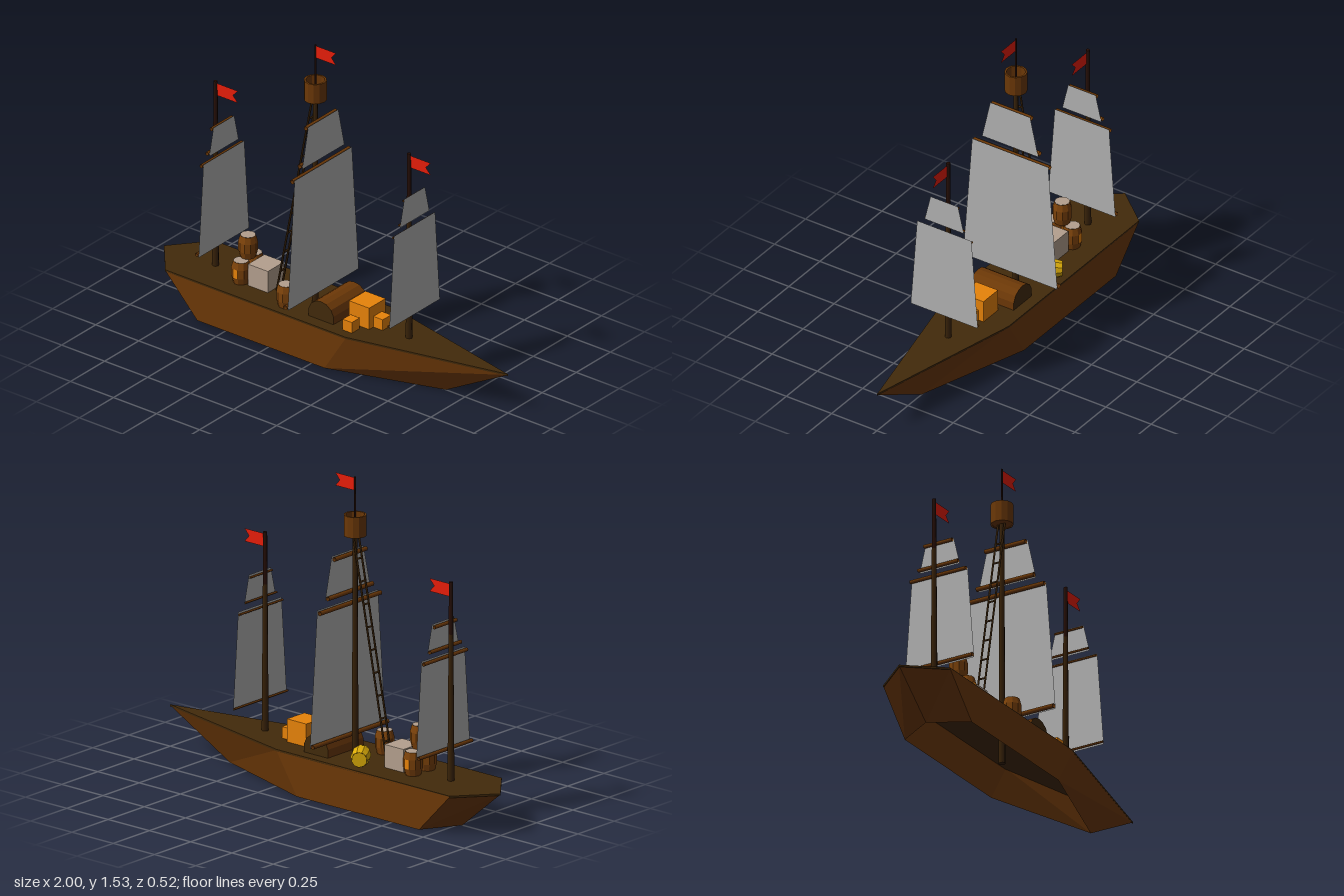
import * as THREE from 'three';

const mat = (name, color, side = THREE.FrontSide) => {
  const m = new THREE.MeshStandardMaterial({ color, side });
  m.name = name;
  return m;
};

export function createModel() {
  const D = THREE.DoubleSide;
  const hullWood = mat('hull wood', 0x6c3807, D);
  const deckWood = mat('dark deck wood', 0x422a0b, D);
  const mastWood = mat('mast wood', 0x382208);
  const poleWood = mat('flag pole wood', 0x260e05);
  const sailCloth = mat('sail cloth', 0xb2b2b2, D);
  const flagRed = mat('flag red', 0xec1e0a, D);
  const barrelWood = mat('barrel wood', 0x7c420a);
  const paleWood = mat('pale wood', 0xb4a08e);
  const orangeWood = mat('orange wood', 0xf0880a);
  const yellowWood = mat('yellow wood', 0xdcac08);

  const ship = new THREE.Group();
  ship.name = 'sailingShip';
  const add = (parent, name, geo, material, x = 0, y = 0, z = 0) => {
    const m = new THREE.Mesh(geo, material);
    m.name = name;
    m.position.set(x, y, z);
    parent.add(m);
    return m;
  };
  const flat = (geo) => {
    const g = geo.toNonIndexed();
    g.computeVertexNormals();
    return g;
  };
  // Rod between two points
  const rod = (parent, name, a, b, r, material, sides = 8, rTop = r, open = false) => {
    const va = new THREE.Vector3(...a), vb = new THREE.Vector3(...b);
    const dir = vb.clone().sub(va);
    const m = add(parent, name, new THREE.CylinderGeometry(rTop, r, dir.length(), sides, 1, open), material);
    m.position.copy(va).add(vb).multiplyScalar(0.5);
    m.quaternion.setFromUnitVectors(new THREE.Vector3(0, 1, 0), dir.normalize());
  };
  // Thin panel in the xy plane
  const panel = (points) => new THREE.ShapeGeometry(new THREE.Shape(points.map(([x, y]) => new THREE.Vector2(x, y))));

  // Hull: sloping sides below the deck outline, open underneath
  const outline = [[-1, 0], [-0.85, 0.18], [0.2, 0.18], [1, 0], [0.2, -0.18], [-0.85, -0.18]];
  const sides = [];
  outline.forEach(([x0, z0], i) => {
    const [x1, z1] = outline[(i + 1) % outline.length];
    const a = [x0, 0.196, z0], b = [x1, 0.196, z1];
    const c = [x0 * 0.705 - 0.065, 0, z0], d = [x1 * 0.705 - 0.065, 0, z1];
    sides.push(...c, ...d, ...b, ...c, ...b, ...a);
  });
  const hullGeo = new THREE.BufferGeometry();
  hullGeo.setAttribute('position', new THREE.Float32BufferAttribute(sides, 3));
  hullGeo.computeVertexNormals();
  add(ship, 'hull', hullGeo, hullWood);

  // Deck with a thin dark edge
  const deckShape = new THREE.Shape(outline.map(([x, z]) => new THREE.Vector2(x, -z)));
  const deckGeo = new THREE.ExtrudeGeometry(deckShape, { depth: 0.009, bevelEnabled: false });
  deckGeo.rotateX(-Math.PI / 2);
  add(ship, 'deck', deckGeo, deckWood, 0, 0.191, 0);

  // Masts, each with two sails, their yards and a flag
  // sail: [bottom y, bottom half width, top y, top half width]
  const smallSails = [[0.33, 0.185, 0.795, 0.15], [0.82, 0.108, 0.955, 0.076]];
  const mainSails = [[0.28, 0.26, 0.93, 0.21], [0.965, 0.155, 1.165, 0.11]];
  const masts = [
    { name: 'mizzen', x: -0.7, base: 0.19, poleY: 0.9, poleR: 0.011, top: 1.15, sailX: -0.652, yardX: -0.665, yardR: 0.009, sails: smallSails, flagW: 0.13, flagY: 1.14 },
    { name: 'main', x: -0.12, base: 0.05, poleY: 1.27, poleR: 0.005, top: 1.53, sailX: -0.074, yardX: -0.089, yardR: 0.011, sails: mainSails, flagW: 0.12, flagY: 1.525 },
    { name: 'fore', x: 0.425, base: 0.19, poleY: 0.9, poleR: 0.011, top: 1.15, sailX: 0.457, yardX: 0.45, yardR: 0.005, sails: smallSails, flagW: 0.125, flagY: 1.14 },
  ];
  for (const m of masts) {
    const g = new THREE.Group();
    g.name = m.name + 'Mast';
    ship.add(g);
    rod(g, 'mastPole', [m.x, m.base, 0], [m.x, m.poleY, 0], 0.016, mastWood, 8, 0.011);
    rod(g, 'flagPole', [m.x, m.poleY, 0], [m.x, m.top, 0], m.poleR, poleWood, 8, m.poleR * 0.85);
    for (const [y0, w0, y1, w1] of m.sails) {
      const sail = add(g, 'sail', panel([[-w0, y0], [w0, y0], [w1, y1], [-w1, y1]]), sailCloth, m.sailX);
      sail.rotation.y = Math.PI / 2;
      for (const [y, w] of [[y0 + 0.01, w0], [y1 - 0.012, w1]]) {
        rod(g, 'yard', [m.yardX, y, -w], [m.yardX, y, w], m.yardR, hullWood, 8, m.yardR, true);
      }
    }
    const w = m.flagW;
    add(g, 'flag', panel([[0, 0], [0, -0.062], [w, -0.062], [w * 0.78, -0.031], [w, 0]]), flagRed, m.x, m.flagY);
  }

  // Lookout basket, open at the top
  const nest = new THREE.Group();
  nest.name = 'lookoutBasket';
  ship.add(nest);
  const wall = [[0.044, 0], [0.053, 0], [0.053, 0.1], [0.044, 0.1], [0.044, 0]].map(([r, y]) => new THREE.Vector2(r, y));
  add(nest, 'basketWall', flat(new THREE.LatheGeometry(wall, 12)), hullWood, -0.12, 1.25);
  add(nest, 'basketFloor', new THREE.CylinderGeometry(0.046, 0.046, 0.008, 12), [hullWood, yellowWood, hullWood], -0.12, 1.256);

  // Ladder leaning on the main mast
  const ladder = new THREE.Group();
  ladder.name = 'ladder';
  ship.add(ladder);
  for (const z of [-0.018, 0.018]) rod(ladder, 'ladderRail', [-0.33, 0.2, z], [-0.125, 1.25, z], 0.005, mastWood, 6);
  const rungs = 10;
  for (let i = 1; i < rungs; i++) {
    const t = i / rungs, x = -0.33 + 0.205 * t, y = 0.2 + 1.05 * t;
    rod(ladder, 'ladderRung', [x, y, -0.018], [x, y, 0.018], 0.005, mastWood, 6);
  }

  // Barrels with bulging staves, separate lids and an optional patch front and back
  const barrel = (x, y, z, body, lid, patch = body, h = 0.112) => {
    const g = new THREE.Group();
    g.name = 'barrel';
    const profile = [[0.036, -0.5], [0.045, -0.2], [0.045, 0.2], [0.036, 0.5]].map(([r, t]) => new THREE.Vector2(r, t * h));
    const staves = flat(new THREE.LatheGeometry(profile, 10, -Math.PI / 10));
    for (let q = 0; q < 30; q++) staves.addGroup(q * 6, 6, q % 15 === 1 ? 1 : 0);
    add(g, 'barrelStaves', staves, [body, patch]);
    for (const s of [1, -1]) {
      const cap = add(g, 'barrelLid', new THREE.CircleGeometry(0.036, 10), lid, 0, s * h / 2, 0);
      cap.rotation.set(-s * Math.PI / 2, 0, Math.PI / 10);
    }
    g.position.set(x, y, z);
    ship.add(g);
    return g;
  };
  barrel(-0.51, 0.256, -0.045, barrelWood, paleWood, orangeWood);
  barrel(-0.508, 0.256, 0.055, barrelWood, paleWood, orangeWood);
  barrel(-0.505, 0.37, 0.008, barrelWood, paleWood);
  barrel(-0.205, 0.256, 0.107, barrelWood, paleWood);
  const lying = barrel(-0.242, 0.243, -0.1, yellowWood, yellowWood, yellowWood, 0.12);
  lying.quaternion.setFromUnitVectors(new THREE.Vector3(0, 1, 0), new THREE.Vector3(0.56, 0, 0.828).normalize());

  // Crates: x, z, size, height
  const crate = (x, z, w, h, d, material) => add(ship, 'crate', new THREE.BoxGeometry(w, h, d), material, x, 0.2 + h / 2, z);
  crate(-0.403, 0.004, 0.115, 0.11, 0.12, paleWood);
  crate(0.178, -0.005, 0.117, 0.11, 0.12, orangeWood);
  crate(0.263, -0.007, 0.055, 0.055, 0.062, orangeWood);
  crate(0.17, 0.103, 0.053, 0.055, 0.058, orangeWood);

  // Round-topped chest with dark ends
  const arch = [[-0.072, 0], [0.072, 0], [0.072, 0.04], [0.058, 0.07], [0.03, 0.09], [0, 0.095], [-0.03, 0.09], [-0.058, 0.07], [-0.072, 0.04]];
  const chestShape = new THREE.Shape(arch.map(([x, y]) => new THREE.Vector2(x, y)));
  const chestGeo = new THREE.ExtrudeGeometry(chestShape, { depth: 0.245, bevelEnabled: false });
  add(ship, 'chest', chestGeo, [deckWood, hullWood], 0.008, 0.2, -0.125);

  return ship;
}
